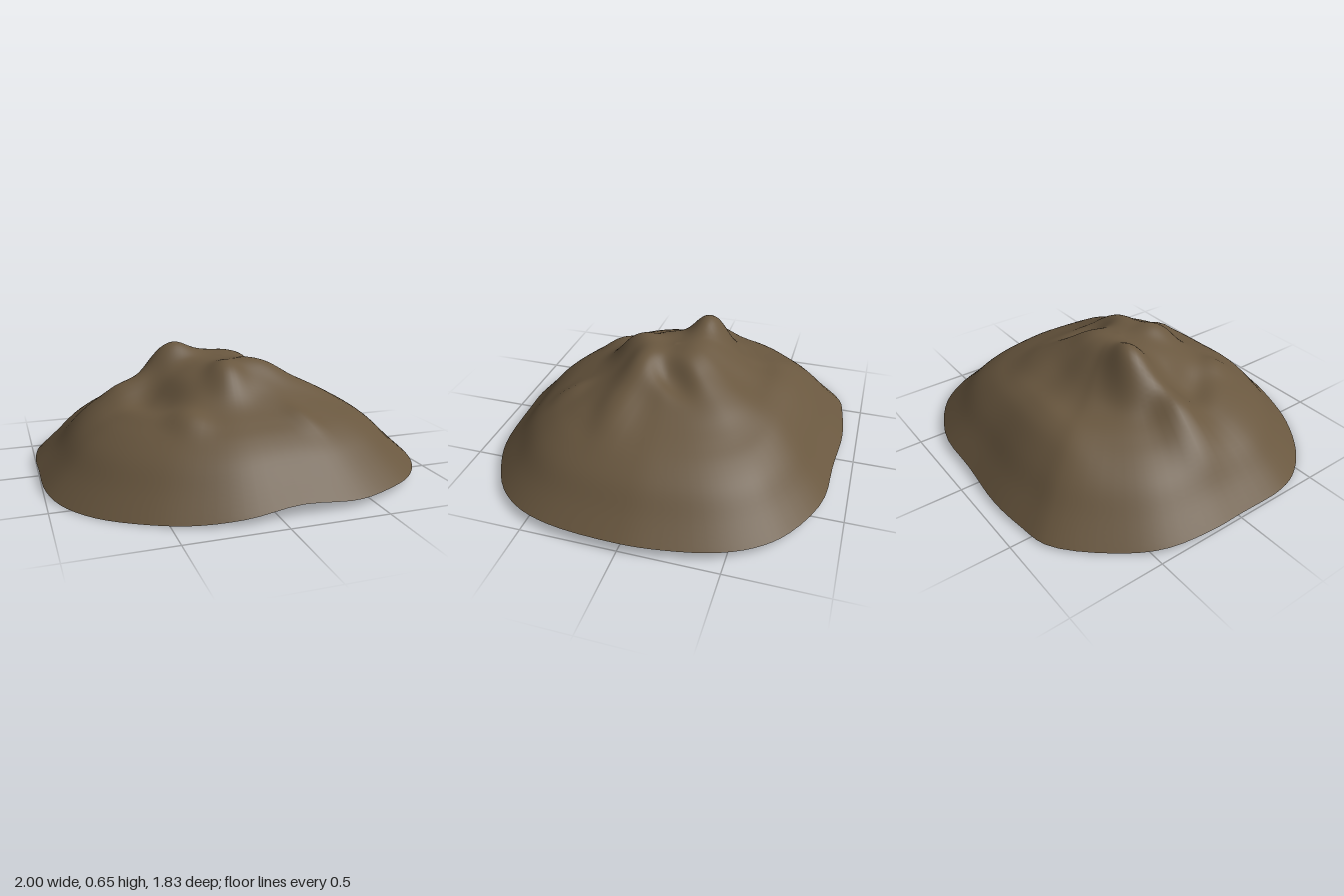
import * as THREE from 'three';

const SPOKES = 96, RINGS = 44;

// Outline of the foot of the mound: x, y, z
const RIM = [
  [1, .05, 0], [.97, .045, .35], [.9, .04, .55], [.78, .035, .7], [.6, .035, .81], [.4, .035, .88],
  [.1, .055, .89], [-.17, .03, .91], [-.4, .01, .86], [-.6, .005, .77], [-.8, 0, .62], [-.93, .005, .45],
  [-.99, .02, .28], [-1, .03, 0], [-1, .03, -.2], [-.95, .02, -.45], [-.82, .01, -.65], [-.6, .01, -.86],
  [-.42, .015, -.9], [-.2, .02, -.92], [.1, .03, -.9], [.42, .035, -.88], [.7, .035, -.75],
  [.83, .035, -.62], [.92, .04, -.45], [.98, .045, -.2],
];

// General slope from the summit (0) to the rim (1): distance, height
const SLOPE = [
  [0, .575], [.15, .56], [.28, .51], [.4, .44], [.5, .39], [.6, .345], [.7, .295], [.8, .225], [.9, .125], [1, .03],
];

// Knolls (positive) and gullies (negative): x, z, width along, width across, turn, height
const RELIEF = [
  [-.28, -.12, .14, .11, .1, .125],   // summit knoll
  [-.02, -.14, .2, .12, .1, .03],     // summit ridge
  [-.04, .25, .1, .12, 0, .06],       // front spur
  [.16, .14, .14, .09, -.1, .035],    // right spur
  [.44, .19, .18, .1, 0, .03],
  [.24, -.05, .13, .07, -1.0, -.045], // right gully
  [.25, -.36, .16, .12, .5, .02],     // back right shoulder
  [-.4, .17, .16, .1, .9, -.05],      // left front gully
  [-.31, .45, .1, .08, .9, .03],      // front rib
  [-.67, -.06, .16, .12, 0, .05],     // left shoulder
  [-.5, -.04, .13, .1, 0, .06],
  [-.27, -.36, .18, .1, -.7, -.02],   // hollow under the summit
  [.27, .52, .1, .06, 1.1, .02],      // front right rib
  [-.05, -.58, .4, .12, 0, .03],      // back shoulder
];

// Smooth blend between the slope points
function slopeHeight(t) {
  let i = 0;
  while (i < SLOPE.length - 2 && t > SLOPE[i + 1][0]) i++;
  const grade = (k) => {
    const a = SLOPE[Math.max(0, k - 1)], b = SLOPE[Math.min(SLOPE.length - 1, k + 1)];
    return (b[1] - a[1]) / (b[0] - a[0]);
  };
  const [t0, h0] = SLOPE[i], [t1, h1] = SLOPE[i + 1];
  const span = t1 - t0, u = (t - t0) / span, w = u * u * (3 - 2 * u);
  return h0 + (h1 - h0) * w + span * u * (1 - u) * ((1 - u) * grade(i) - u * grade(i + 1));
}

function relief(x, z) {
  let sum = 0;
  for (const [cx, cz, along, across, turn, height] of RELIEF) {
    const dx = x - cx, dz = z - cz;
    const u = (dx * Math.cos(turn) + dz * Math.sin(turn)) / along;
    const v = (dz * Math.cos(turn) - dx * Math.sin(turn)) / across;
    sum += height * Math.exp(-((u * u + v * v) ** 1.2));
  }
  return sum;
}

function moundGeometry() {
  const rim = new THREE.CatmullRomCurve3(RIM.map((p) => new THREE.Vector3(...p)), true);
  const positions = [], index = [];
  for (let r = 0; r <= RINGS; r++) {
    const t = r / RINGS;
    for (let s = 0; s < SPOKES; s++) {
      const foot = rim.getPoint(s / SPOKES);
      const x = foot.x * t, z = foot.z * t;
      const fade = Math.min(1, (1 - t) * 6); // leave the rim undisturbed
      const y = slopeHeight(t) + (foot.y - .03) * t ** 4 + relief(x, z) * fade;
      positions.push(x, Math.max(0, y), z);
      if (r === RINGS) continue;
      const a = r * SPOKES + s, b = r * SPOKES + (s + 1) % SPOKES;
      if (r > 0) index.push(a, b, a + SPOKES);
      index.push(b, b + SPOKES, a + SPOKES);
    }
  }
  const geometry = new THREE.BufferGeometry();
  geometry.setAttribute('position', new THREE.Float32BufferAttribute(positions, 3));
  geometry.setIndex(index);
  geometry.computeVertexNormals();
  // All centre points share one upright normal
  for (let s = 0; s < SPOKES; s++) geometry.attributes.normal.setXYZ(s, 0, 1, 0);
  return geometry;
}

export function createModel() {
  const earth = new THREE.MeshStandardMaterial({ color: 0x69573f, side: THREE.DoubleSide });
  earth.name = 'earth brown';
  const group = new THREE.Group();
  group.name = 'hill';

  // Open, hollow shell of the mound
  const mound = new THREE.Mesh(moundGeometry(), earth);
  mound.name = 'mound';
  group.add(mound);
  return group;
}
